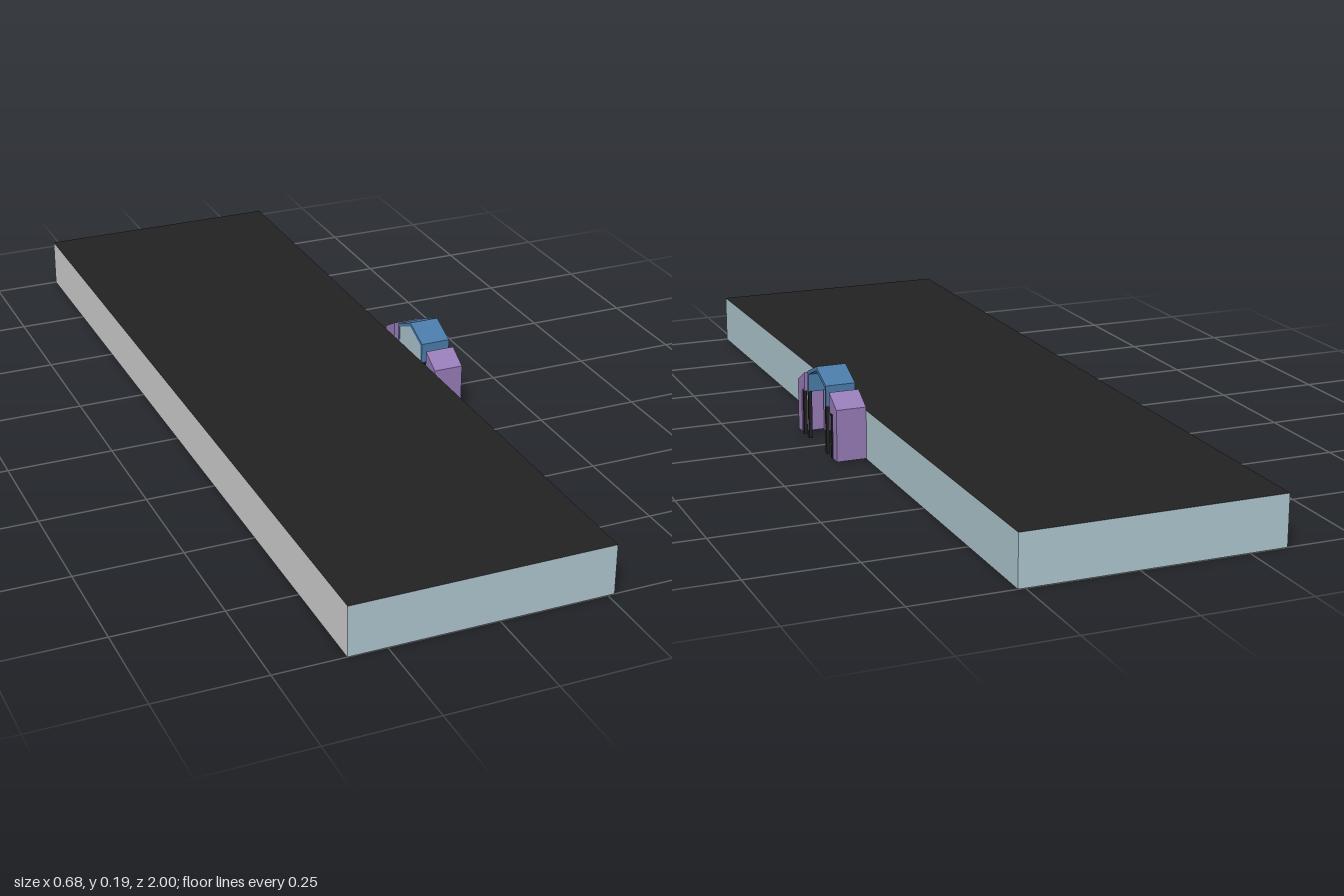
import * as THREE from 'three';

const mat = (name, color, side = THREE.FrontSide) => {
  const m = new THREE.MeshStandardMaterial({ color, side });
  m.name = name;
  return m;
};

export function createModel() {
  const paleBlue = mat('pale blue', 0xaec6cf, THREE.DoubleSide);
  const lightGrey = mat('light grey', 0xd0d0d0, THREE.DoubleSide);
  const black = mat('black', 0x222222, THREE.DoubleSide);
  const purple = mat('purple', 0x967bb6);
  const blue = mat('steel blue', 0x4a7aa8);
  const grey = mat('warm grey', 0xa39d9c);

  const X0 = -0.338, X1 = 0.266, XF = 0.338, H = 0.118;
  const D = XF - X1;
  const group = new THREE.Group();
  group.name = 'longHallWithPorch';

  const add = (name, geometry, material, parent = group) => {
    const mesh = new THREE.Mesh(geometry, material);
    mesh.name = name;
    parent.add(mesh);
    return mesh;
  };
  // Box given by its lower and upper corners
  const box = (name, a, b, material, parent) => {
    const g = new THREE.BoxGeometry(b[0] - a[0], b[1] - a[1], b[2] - a[2]);
    g.translate((a[0] + b[0]) / 2, (a[1] + b[1]) / 2, (a[2] + b[2]) / 2);
    return add(name, g, material, parent);
  };
  // Prism with a [z, y] outline, running along x
  const prism = (name, points, x, depth, material, parent) => {
    const shape = new THREE.Shape(points.map(([z, y]) => new THREE.Vector2(-z, y)));
    const g = new THREE.ExtrudeGeometry(shape, { depth, bevelEnabled: false });
    g.rotateY(Math.PI / 2).translate(x, 0, 0);
    return add(name, g, material, parent);
  };

  // Hollow hall: four thin walls and a flat roof, open below
  const wall = (name, width, x, z, turn, material) => {
    const m = add(name, new THREE.PlaneGeometry(width, H), material);
    m.position.set(x, H / 2, z);
    m.rotation.y = turn;
  };
  const mid = (X0 + X1) / 2;
  wall('endWallFront', X1 - X0, mid, 1, 0, paleBlue);
  wall('endWallBack', X1 - X0, mid, -1, Math.PI, paleBlue);
  wall('porchSideWall', 2, X1, 0, Math.PI / 2, paleBlue);
  wall('farSideWall', 2, X0, 0, -Math.PI / 2, lightGrey);
  const roof = add('roof', new THREE.PlaneGeometry(X1 - X0, 2), black);
  roof.rotation.x = -Math.PI / 2;
  roof.position.set(mid, H, 0);

  // Porch
  const porch = new THREE.Group();
  porch.name = 'porch';
  group.add(porch);

  // Gabled hood, a thin shell with short sides
  prism('gabledHood', [
    [-0.067, 0.115], [-0.067, 0.164], [0, 0.193], [0.067, 0.164], [0.067, 0.115],
    [0.06, 0.115], [0.06, 0.158], [0, 0.183], [-0.06, 0.158], [-0.06, 0.115],
  ], X1, D, blue, porch);

  // Gabled pane and lower panel against the wall
  prism('gablePane', [
    [-0.061, 0.06], [-0.061, 0.159], [0, 0.184], [0.061, 0.159], [0.061, 0.06],
  ], X1 + 0.001, 0.003, paleBlue, porch);
  box('lowerPanel', [X1, 0, -0.095], [X1 + 0.004, 0.057, 0.095], grey, porch);
  box('rail', [X1, 0.057, -0.095], [X1 + 0.006, 0.065, 0.095], black, porch);

  for (const s of [1, -1]) {
    const side = s > 0 ? 'Left' : 'Right';
    const mirror = (pts) => pts.map(([z, y]) => [s * z, y]);
    // Side pier with a sloping top overhanging a narrow recess
    prism('pier' + side, mirror([
      [0.14, 0.002], [0.14, 0.126], [0.09, 0.155], [0.09, 0.108], [0.112, 0.108], [0.112, 0.002],
    ]), X1, D, purple, porch);
    prism('pierRib' + side, mirror([
      [0.105, 0.002], [0.105, 0.11], [0.093, 0.11], [0.093, 0.002],
    ]), X1, 0.02, purple, porch);
    // Slim posts at the front corners
    for (const z of [0.063, 0.1]) {
      box('post' + side, [XF - 0.008, 0, s * z - 0.004], [XF, 0.116, s * z + 0.004], black, porch);
    }
  }
  return group;
}
